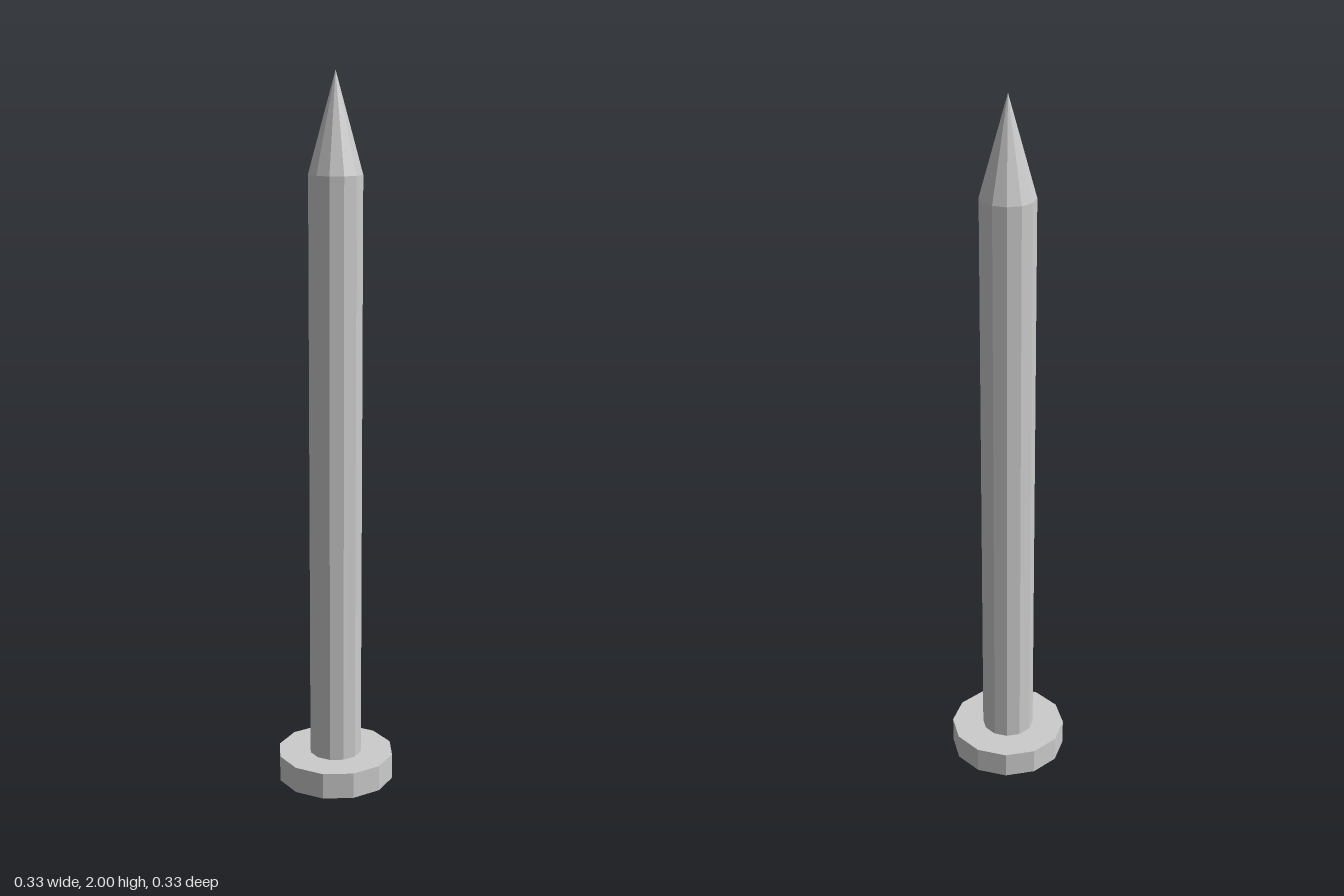
import * as THREE from 'three';

const SIDES = 12;

export function createModel() {
  const group = new THREE.Group();
  group.name = 'nail';
  const material = new THREE.MeshStandardMaterial({ color: 0xcccccc, flatShading: true });

  // Adds a twelve-sided section standing between two heights
  const addSection = (name, geometry, bottom, top) => {
    const mesh = new THREE.Mesh(geometry, material);
    mesh.name = name;
    mesh.position.y = (bottom + top) / 2;
    group.add(mesh);
  };

  // Flat disc head at the base
  addSection('head', new THREE.CylinderGeometry(0.167, 0.167, 0.075, SIDES), 0, 0.075);

  // Long straight shaft, open where it meets the head and the point
  addSection('shaft', new THREE.CylinderGeometry(0.075, 0.075, 1.655, SIDES, 1, true), 0.075, 1.73);

  // Sharp point
  addSection('point', new THREE.ConeGeometry(0.075, 0.27, SIDES, 1, true), 1.73, 2);

  return group;
}
